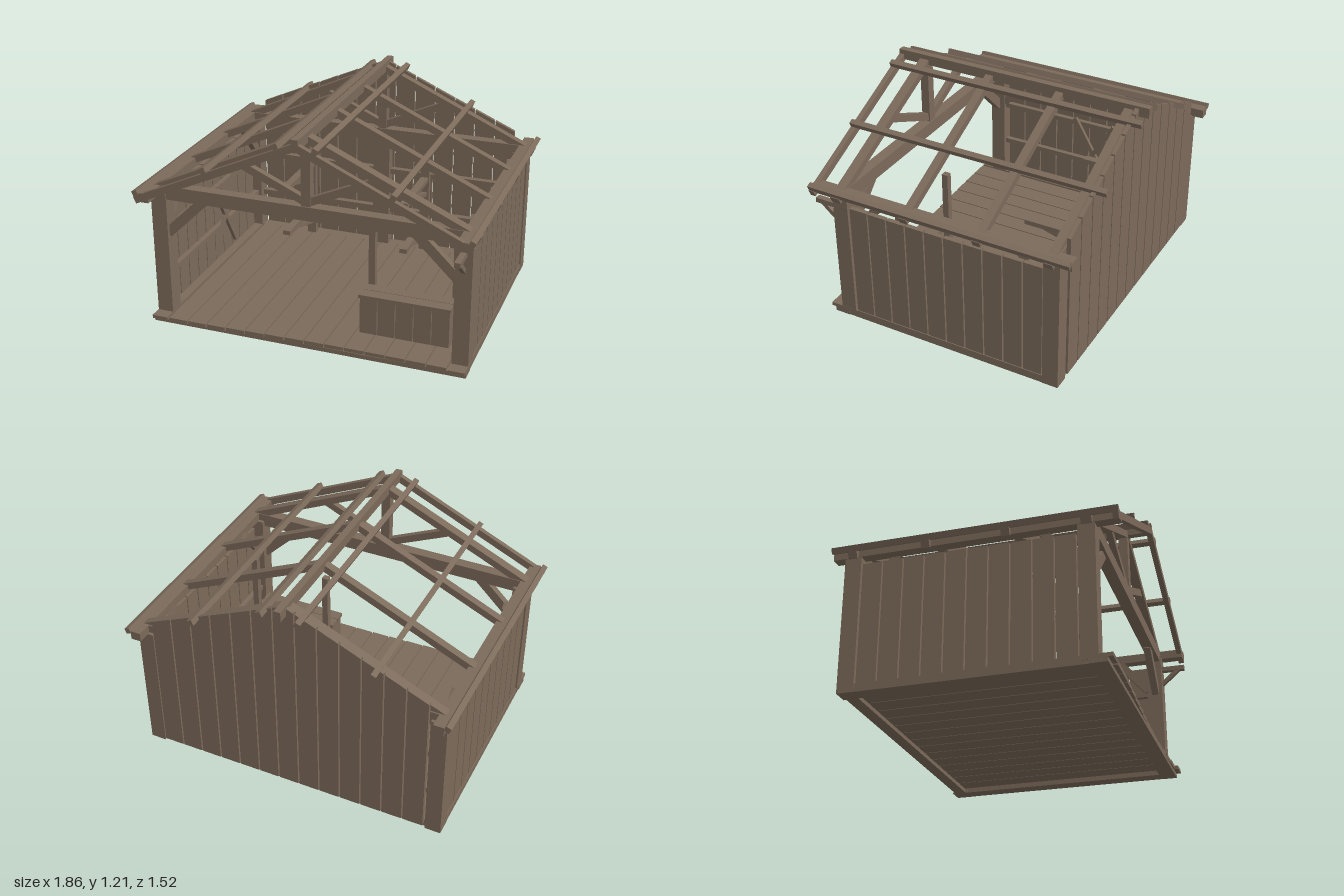
import * as THREE from 'three';

export function createModel() {
  const model = new THREE.Group();
  model.name = 'timberShed';
  const wood = new THREE.MeshStandardMaterial({ color: 0x7b6a5a });
  wood.name = 'weathered wood';

  const add = (name, geometry) => {
    const mesh = new THREE.Mesh(geometry, wood);
    mesh.name = name;
    model.add(mesh);
    return mesh;
  };
  // Box given by its limits on each axis
  const box = (name, x0, x1, y0, y1, z0, z1) => {
    const m = add(name, new THREE.BoxGeometry(x1 - x0, y1 - y0, z1 - z0));
    m.position.set((x0 + x1) / 2, (y0 + y1) / 2, (z0 + z1) / 2);
    return m;
  };
  // Sloping timber between two points; width is horizontal, depth is across the slope
  const bar = (name, a, b, width, depth) => {
    const p = new THREE.Vector3(...a), q = new THREE.Vector3(...b);
    const m = add(name, new THREE.BoxGeometry(width, depth, p.distanceTo(q)));
    m.position.copy(p).add(q).multiplyScalar(0.5);
    m.lookAt(q);
    return m;
  };
  const vary = (i) => Math.sin(i * 12.9 + 1.7);
  const SLOPE = 0.454, RIDGE = 1.195;
  const roofY = (x) => RIDGE - SLOPE * Math.abs(x);
  const angle = Math.atan(SLOPE);

  // Sills and floor boards
  for (const s of [-1, 1]) {
    const x = s * 0.845;
    box('sideSill', x - 0.042, x + 0.042, 0, 0.045, -0.66, 0.665);
  }
  box('frontSill', -0.89, 0.89, 0, 0.025, 0.62, 0.71);
  box('backSill', -0.81, 0.81, 0, 0.045, -0.645, -0.58);
  const floorStep = 1.58 / 14;
  for (let i = 0; i < 14; i++) {
    const x = -0.79 + i * floorStep;
    box('floorBoard', x + 0.003, x + floorStep - 0.003, 0.022, 0.045, -0.64, 0.72 + 0.014 * vary(i));
  }
  for (const s of [-1, 1]) box('floorEndBoard', s * 0.845 - 0.045, s * 0.845 + 0.045, 0.025, 0.045, 0.6, 0.735);

  // Corner posts, eave beams and side walls
  for (const s of [-1, 1]) {
    const lim = (a, b) => (s > 0 ? [a, b] : [-b, -a]);
    box('frontPost', ...lim(0.8, 0.889), 0.02, 0.755, 0.575, 0.665);
    box('backPost', ...lim(0.8, 0.889), 0, 0.755, -0.66, -0.57);
    box('eaveBeam', ...lim(0.835, 0.893), 0.75, 0.8, -0.725, 0.79);
    for (const y of [0.25, 0.505]) box('sideRail', ...lim(0.82, 0.85), y, y + 0.03, -0.57, 0.575);
    const step = 1.137 / 10;
    for (let i = 0; i < 10; i++) {
      const z = -0.567 + i * step;
      box('sideBoard', ...lim(0.855, 0.882), 0.035, 0.708 + 0.005 * vary(i + 3 * s), z + 0.004, z + step - 0.004);
    }
    // Knee braces
    for (const e of [-1, 1]) {
      bar('sideKneeBrace', [s * 0.825, 0.54, e * 0.58], [s * 0.825, 0.765, e * 0.385], 0.035, 0.045);
    }
    bar('frontKneeBrace', [s * 0.81, 0.52, 0.625], [s * 0.59, 0.735, 0.625], 0.04, 0.055);
  }

  // Back wall: planks cut to the roof pitch, with rails and a middle post
  const boardStep = 1.586 / 13;
  for (let i = 0; i < 13; i++) {
    const a = -0.793 + i * boardStep + 0.004, b = a + boardStep - 0.008;
    const top = (x) => 1.21 - 0.445 * Math.abs(x) + 0.005 * vary(i);
    const shape = new THREE.Shape();
    shape.moveTo(a, 0.02);
    shape.lineTo(b, 0.02);
    shape.lineTo(b, top(b));
    if (a < 0 && b > 0) shape.lineTo(0, top(0));
    shape.lineTo(a, top(a));
    shape.closePath();
    const board = add('backBoard', new THREE.ExtrudeGeometry(shape, { depth: 0.022, bevelEnabled: false }));
    board.position.z = -0.667;
  }
  for (const y of [0.245, 0.503]) box('backRail', -0.8, 0.8, y, y + 0.032, -0.643, -0.605);
  box('backMiddlePost', -0.05, 0.05, 0.04, 0.73, -0.64, -0.575);

  // Front and back trusses
  for (const z of [0.627, -0.61]) {
    box('tieBeam', -0.889, 0.889, 0.723, 0.8, z - 0.032, z + 0.032);
    box('kingPost', -0.026, 0.026, 0.8, 1.17, z - 0.025, z + 0.025);
    for (const s of [-1, 1]) bar('trussStrut', [s * 0.02, 0.825, z], [s * 0.4, 0.995, z], 0.035, 0.042);
  }

  // Rafters
  const rafters = [[0.775, 0.03], [0.627, 0.055], [0.212, 0.045], [-0.212, 0.045], [-0.61, 0.048]];
  for (const [z, w] of rafters) {
    for (const s of [-1, 1]) {
      const drop = 0.023;
      bar('rafter', [0, RIDGE - drop, z], [s * 0.915, roofY(0.915) - drop, z], w, 0.04);
    }
  }
  // Purlins and ridge beam
  box('ridgeBeam', -0.019, 0.019, 1.155, 1.212, -0.725, 0.79);
  for (const s of [-1, 1]) {
    for (const x of [0.105, 0.51, 0.912]) {
      const m = add('purlin', new THREE.BoxGeometry(0.03, 0.032, 1.515));
      m.position.set(s * x, roofY(x) + 0.014, 0.0325);
      m.rotation.z = -s * angle;
    }
  }

  // Bracket: arm reaching forward with a brace below
  const bracket = (x, y, z, reach, w) => {
    box('bracketArm', x - w / 2, x + w / 2, y - 0.027, y, z, z + reach);
    bar('bracketBrace', [x, y - 0.11, z], [x, y - 0.02, z + reach * 0.75], w * 0.7, 0.024);
  };
  bracket(0.843, 0.692, 0.66, 0.14, 0.032);

  // Storage racks standing against the back wall
  for (const x of [-0.457, 0.277]) {
    box('rackUpright', x - 0.027, x + 0.027, 0.045, 0.63, -0.605, -0.57);
    for (const y of [0.525, 0.235]) bracket(x, y, -0.575, 0.42, 0.045);
  }

  // Crossed poles on the right wall
  bar('crossedPole', [-0.807, 0.12, 0.08], [-0.807, 0.56, -0.18], 0.02, 0.025);
  bar('crossedPole', [-0.807, 0.12, -0.18], [-0.807, 0.56, 0.08], 0.02, 0.025);

  // Planked chest with two tall posts behind it
  for (let i = 0; i < 5; i++) {
    const x = 0.248 + i * 0.1;
    box('chestBoard', x + 0.002, x + 0.098, 0.045, 0.255, 0.405, 0.523);
  }
  box('chestLid', 0.243, 0.752, 0.255, 0.275, 0.393, 0.459);
  box('chestLid', 0.243, 0.752, 0.255, 0.275, 0.462, 0.53);
  for (const x of [0.265, 0.735]) box('chestPost', x - 0.018, x + 0.018, 0.045, 0.65, 0.337, 0.373);

  return model;
}
